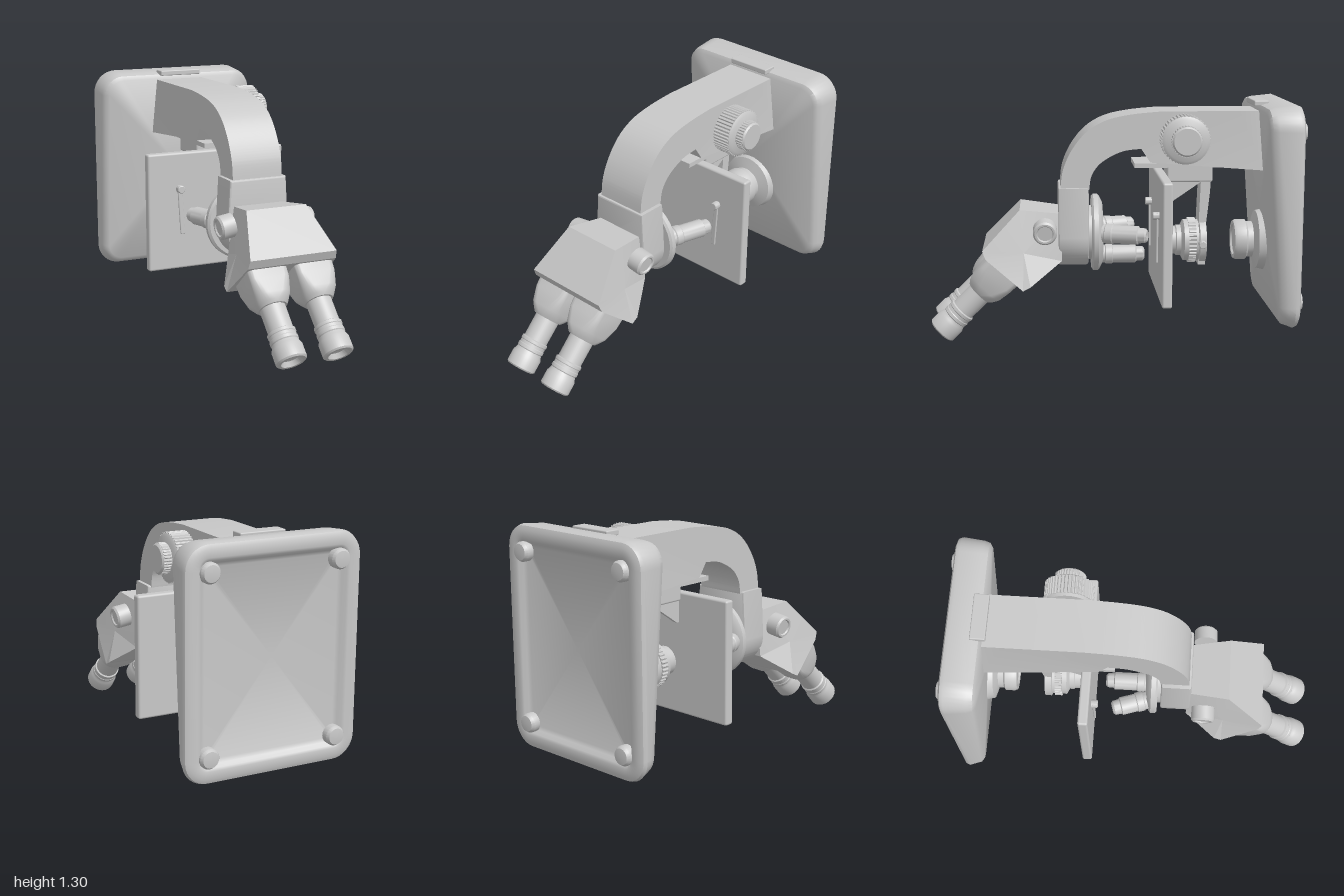
import * as THREE from 'three';
import { toCreasedNormals } from 'three/addons/utils/BufferGeometryUtils.js';
import { RoundedBoxGeometry } from 'three/addons/geometries/RoundedBoxGeometry.js';

const grey = new THREE.MeshStandardMaterial({ color: 0xc8c8c8 });
grey.name = 'plain grey';
const V = (x, y, z) => new THREE.Vector3(x, y, z);

function add(parent, name, geo, x = 0, y = 0, z = 0) {
  const mesh = new THREE.Mesh(geo, grey);
  mesh.name = name;
  mesh.position.set(x, y, z);
  parent.add(mesh);
  return mesh;
}

// Turned part: profile of [radius, distance] pairs along a direction
function turned(parent, name, profile, pos, dir, sides = 40) {
  const geo = new THREE.LatheGeometry(profile.map(p => new THREE.Vector2(...p)), sides);
  const mesh = add(parent, name, toCreasedNormals(geo, 0.6), ...pos);
  mesh.quaternion.setFromUnitVectors(V(0, 1, 0), V(...dir).normalize());
  return mesh;
}
const disc = (r, len, b = 0.008) => [[0, 0], [r - b, 0], [r, b], [r, len - b], [r - b, len], [0, len]];

// Closed skin over equal-sized rings, with fanned end caps
function loft(rings, crease = 0.6) {
  const pos = [], n = rings[0].length;
  const tri = (...pts) => pts.forEach(p => pos.push(p.x, p.y, p.z));
  const mid = r => r.reduce((s, p) => s.add(p), V(0, 0, 0)).divideScalar(n);
  const first = rings[0], last = rings[rings.length - 1], c0 = mid(first), c1 = mid(last);
  for (let i = 0; i < n; i++) {
    const j = (i + 1) % n;
    tri(c0, first[j], first[i]);
    tri(c1, last[i], last[j]);
    for (let k = 0; k + 1 < rings.length; k++) {
      const a = rings[k], b = rings[k + 1];
      tri(a[i], a[j], b[j]);
      tri(a[i], b[j], b[i]);
    }
  }
  const geo = new THREE.BufferGeometry();
  geo.setAttribute('position', new THREE.Float32BufferAttribute(pos, 3));
  return toCreasedNormals(geo, crease);
}

// Rounded rectangle ring; z may depend on y
function roundRect(w, h, r, z, cy = 0) {
  const pts = [], steps = 8;
  [[1, 1], [-1, 1], [-1, -1], [1, -1]].forEach(([sx, sy], q) => {
    for (let i = 0; i <= steps; i++) {
      const a = (q + i / steps) * Math.PI / 2;
      const x = sx * (w - r) + r * Math.cos(a), y = cy + sy * (h - r) + r * Math.sin(a);
      pts.push(V(x, y, typeof z === 'function' ? z(y) : z));
    }
  });
  return pts;
}

// Side profile in (z, y), extruded across x
function sideExtrude(parent, name, shape, width, rule) {
  const geo = new THREE.ExtrudeGeometry(shape, { depth: width, bevelEnabled: false, curveSegments: 16 });
  geo.translate(0, 0, -width / 2).rotateY(-Math.PI / 2);
  if (rule) {
    const p = geo.attributes.position;
    for (let i = 0; i < p.count; i++) p.setX(i, p.getX(i) * rule(p.getY(i), p.getZ(i)));
  }
  return add(parent, name, toCreasedNormals(geo, 0.4));
}

// Ribbed grip ring, axis along +z before rotation
function ribbed(r, len, ribs, depth) {
  const s = new THREE.Shape();
  for (let i = 0; i < ribs * 4; i++) {
    const a = (i + 0.5) / (ribs * 4) * Math.PI * 2, q = i % 4 < 2 ? r : r - depth;
    s[i ? 'lineTo' : 'moveTo'](Math.cos(a) * q, Math.sin(a) * q);
  }
  return new THREE.ExtrudeGeometry(s, { depth: len, bevelEnabled: false });
}

export function createModel() {
  const model = new THREE.Group();
  model.name = 'microscope';
  const v2 = (z, y) => new THREE.Vector2(z, y);

  // Base: wedge slab with a recessed underside
  const front = d => y => -0.868 + (y - 0.12) * 0.075 - d;
  const slab = (inset, z) => roundRect(0.485 - inset, 0.595 - inset, Math.max(0.13 - inset, 0.02), z, 0.715);
  add(model, 'base', loft([
    slab(0.12, -0.935), slab(0.1, -0.945), slab(0.085, -0.965), slab(0.07, -0.97), slab(0.03, -0.97),
    slab(0.008, -0.96), slab(0, -0.94), slab(0.012, front(0.045)), slab(0.022, front(0.015)), slab(0.045, front(0)),
  ], 0.7));
  for (const x of [-0.355, 0.355]) for (const y of [0.26, 1.17])
    turned(model, 'foot', [[0, 0], [0.052, 0], [0.052, 0.035], [0.042, 0.05], [0, 0.056]], [x, y, -0.944], [0, 0, -1], 24);
  add(model, 'topTab', new RoundedBoxGeometry(0.25, 0.03, 0.08, 2, 0.006), 0, 1.298, -0.8);

  // Lamp housing on the base
  turned(model, 'lampHousing', [[0, 0], [0.17, 0], [0.16, 0.04], [0.1, 0.06], [0.1, 0.09], [0.112, 0.1], [0.112, 0.15],
    [0.105, 0.165], [0.085, 0.165], [0.08, 0.155], [0, 0.155]], [0, 0.53, -0.84], [0, 0, 1]);

  // Curved arm, flared where it meets the base
  const arm = new THREE.Shape();
  arm.moveTo(-0.82, 1.26);
  arm.lineTo(-0.68, 1.26);
  arm.lineTo(-0.26, 1.26);
  arm.splineThru([v2(-0.1, 1.245), v2(0.035, 1.215), v2(0.14, 1.155), v2(0.22, 1.06), v2(0.27, 0.95), v2(0.285, 0.84)]);
  arm.lineTo(0.13, 0.84);
  arm.splineThru([v2(0.115, 0.92), v2(0.06, 0.99), v2(-0.045, 1.045), v2(-0.15, 1.06)]);
  arm.lineTo(-0.2, 0.985);
  arm.lineTo(-0.68, 0.95);
  arm.lineTo(-0.82, 0.94);
  sideExtrude(model, 'arm', arm, 0.288, (y, z) => (z < -0.75 && y < 1.1 ? 1.17 : 1));
  add(model, 'slideRail', new THREE.BoxGeometry(0.26, 0.025, 0.68), 0, 0.967, -0.455);

  // Focus knob
  const knob = new THREE.Group();
  knob.name = 'focusKnob';
  knob.position.set(0.14, 1.12, -0.375);
  knob.rotation.y = Math.PI / 2;
  model.add(knob);
  turned(knob, 'knobShaft', disc(0.055, 0.06), [0, 0, -0.01], [0, 0, 1]);
  add(knob, 'coarseGrip', ribbed(0.132, 0.1, 44, 0.006), 0, 0, 0.045);
  turned(knob, 'coarseKnob', [[0, 0], [0.11, 0], [0.126, 0.012], [0.126, 0.112], [0.11, 0.122], [0, 0.122]], [0, 0, 0.034], [0, 0, 1]);
  add(knob, 'fineGrip', ribbed(0.082, 0.04, 32, 0.004), 0, 0, 0.16);
  turned(knob, 'fineKnob', disc(0.078, 0.062), [0, 0, 0.148], [0, 0, 1]);

  // Head mount below the arm
  const mount = new THREE.Shape();
  mount.moveTo(0.155, 0.84);
  mount.lineTo(-0.155, 0.84);
  mount.lineTo(-0.17, 0.58);
  mount.absarc(0, 0.58, 0.17, Math.PI, Math.PI * 2, false);
  add(model, 'headMount', toCreasedNormals(new THREE.ExtrudeGeometry(mount, {
    depth: 0.14, bevelSize: 0.01, bevelThickness: 0.012, bevelSegments: 2, curveSegments: 24 }), 0.6), 0, 0, 0.145);

  // Rotating nosepiece and objectives
  turned(model, 'nosepieceNeck', disc(0.15, 0.06), [0, 0.58, 0.15], [0, 0, -1]);
  turned(model, 'nosepiece', [[0, 0], [0.2, 0], [0.212, 0.01], [0.212, 0.035], [0.2, 0.045], [0.17, 0.06], [0, 0.07]],
    [0, 0.58, 0.115], [0, 0, -1], 48);
  const objective = len => [[0, 0], [0.05, 0], [0.05, 0.03], [0.055, 0.035], [0.055, 0.07], [0.05, 0.075],
    [0.05, len - 0.05], [0.042, len - 0.045], [0.04, len - 0.01], [0.03, len], [0.015, len], [0, len - 0.01]];
  turned(model, 'objective', objective(0.26), [0.145, 0.6, 0.07], [0.32, 0, -1], 28);
  turned(model, 'objective', objective(0.21), [-0.145, 0.585, 0.07], [-0.32, 0, -1], 28);
  turned(model, 'objective', objective(0.25), [0, 0.455, 0.07], [0, 0, -1], 28);

  // Binocular head: side profile [z, y, half width]
  const section = [[0.28, 0.455, 0.17], [0.28, 0.71, 0.14], [0.505, 0.738, 0.172], [0.705, 0.53, 0.245],
    [0.688, 0.485, 0.25], [0.49, 0.315, 0.275], [0.45, 0.335, 0.272]];
  add(model, 'head', loft([-1, 1].map(s => section.map(([z, y, w]) => V(s * w, y, z))), 0.15));

  for (const s of [-1, 1]) {
    turned(model, 'headKnob', [[0, 0], [0.064, 0], [0.064, 0.07], [0.055, 0.08], [0.045, 0.08], [0.04, 0.072], [0, 0.072]],
      [s * 0.19, 0.635, 0.37], [s, -0.15, 0], 28);
    // Eyepiece tilted forward and down
    const eye = new THREE.Group();
    eye.name = 'eyepiece';
    eye.position.set(s * 0.132, 0.397, 0.608);
    eye.rotation.x = Math.PI / 4;
    model.add(eye);
    add(eye, 'eyepieceHolder', loft([roundRect(0.112, 0.108, 0.03, -0.04), roundRect(0.11, 0.106, 0.035, 0.04),
      roundRect(0.098, 0.1, 0.06, 0.12), roundRect(0.086, 0.088, 0.08, 0.155), roundRect(0.076, 0.076, 0.074, 0.17)]));
    turned(eye, 'eyepieceTube', [[0, 0], [0.068, 0], [0.066, 0.33], [0.074, 0.335], [0.074, 0.35], [0.071, 0.354], [0.071, 0.37],
      [0.074, 0.374], [0.074, 0.39], [0.07, 0.395], [0.074, 0.41], [0.081, 0.425], [0.081, 0.492], [0.073, 0.5],
      [0.057, 0.5], [0.042, 0.475], [0, 0.468]], [0, 0, -0.03], [0, 0, 1]);
    // Specimen clip
    add(model, 'stageClip', new RoundedBoxGeometry(0.028, 0.28, 0.012, 2, 0.005), s * 0.225, 0.59, -0.23).rotation.z = s * -0.06;
    turned(model, 'clipPin', disc(0.022, 0.045, 0.004), [s * 0.23, 0.71, -0.25], [0, 0, 1], 20);
  }

  // Stage and its bracket
  add(model, 'stage', new RoundedBoxGeometry(0.834, 0.67, 0.054, 2, 0.012), 0, 0.58, -0.268);
  add(model, 'stageBracket', new RoundedBoxGeometry(0.2, 0.09, 0.25, 2, 0.01), 0, 0.915, -0.42);
  const rib = new THREE.Shape([v2(-0.285, 0.89), v2(-0.285, 0.75), v2(-0.31, 0.75), v2(-0.5, 0.88)]);
  for (const x of [-0.07, 0.07]) sideExtrude(model, 'bracketRib', rib, 0.025).position.x = x;

  // Condenser on its hanging arm
  const hanger = new THREE.Shape([v2(-0.485, 0.88), v2(-0.54, 0.88), v2(-0.535, 0.8), v2(-0.515, 0.62), v2(-0.515, 0.4), v2(-0.475, 0.4), v2(-0.475, 0.62)]);
  sideExtrude(model, 'condenserArm', hanger, 0.13);
  turned(model, 'condenser', [[0, 0], [0.128, 0], [0.128, 0.035], [0.115, 0.04], [0.115, 0.12], [0.085, 0.135], [0.085, 0.16],
    [0.078, 0.165], [0.078, 0.2], [0.06, 0.205], [0, 0.205]], [0, 0.53, -0.515], [0, 0, 1]);
  add(model, 'condenserGrip', ribbed(0.125, 0.04, 36, 0.006), 0, 0.53, -0.46);
  turned(model, 'condenserScrew', disc(0.022, 0.06, 0.004), [0.1, 0.53, -0.49], [1, 0, 0], 20);

  return model;
}
